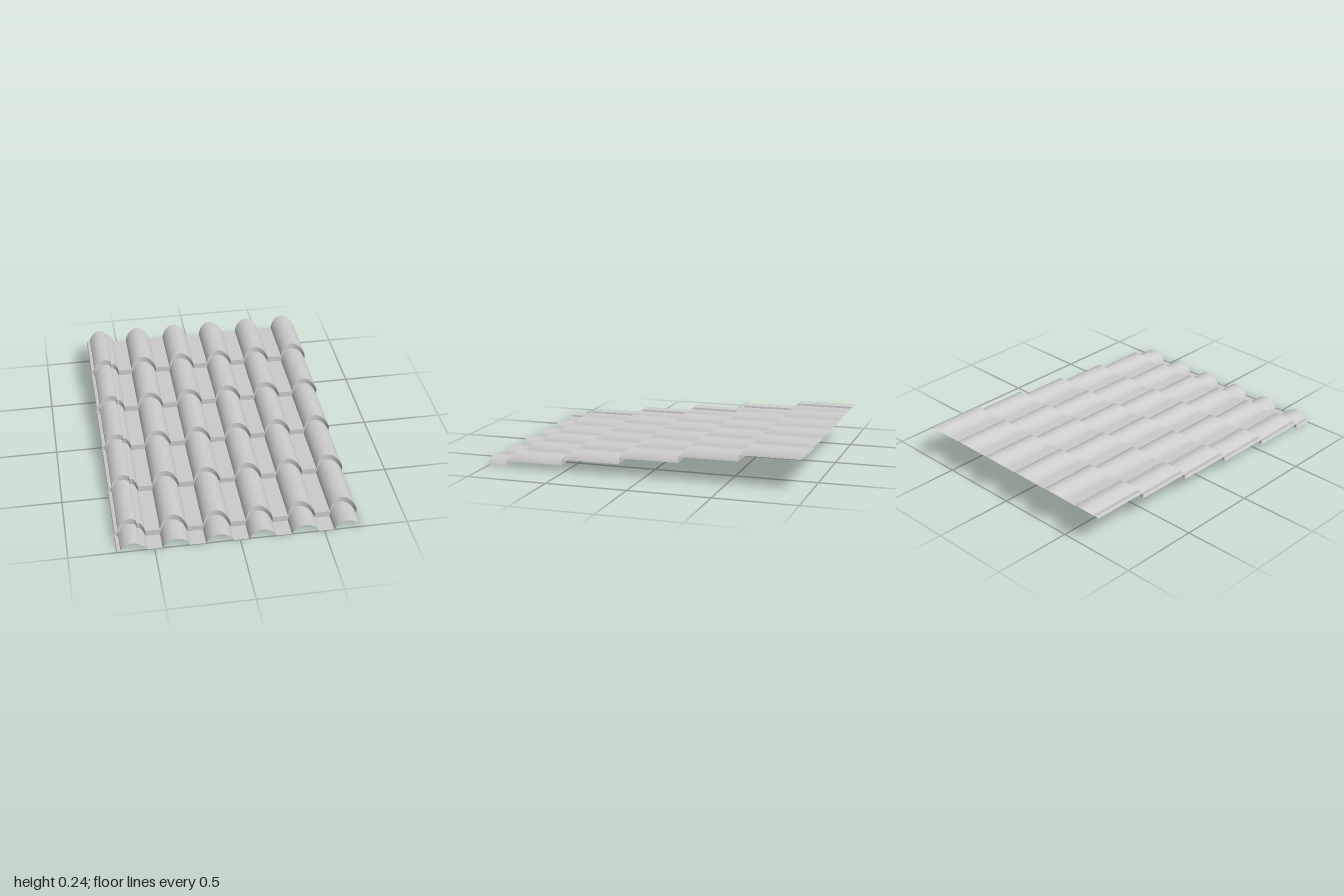
import * as THREE from 'three';
import { toCreasedNormals } from 'three/addons/utils/BufferGeometryUtils.js';

const ROWS = 6, STEP = 0.0368, PITCH = 0.365, FIRST_EDGE = 0.88;
const HALF = 0.081, RISE = 0.056, PERIOD = 0.2535, FIRST_ARCH = -0.6265;

// Height of a circular roll at distance d from its centre
const RADIUS = (HALF * HALF + RISE * RISE) / (2 * RISE);
const roll = d => Math.max(0, Math.sqrt(RADIUS * RADIUS - d * d) - RADIUS + RISE);

// Cross-section [x, height] from the right edge to the left edge
function sheetProfile() {
  const pts = [[-0.722, 0.003], [-0.718, 0.009], [-0.704, 0.011], [-0.698, 0.007]];
  // Overlap roll with a stepped side lap
  for (let i = 0; i <= 8; i++) {
    const x = -0.696 + i * 0.0133;
    pts.push([x, roll(x - FIRST_ARCH)]);
  }
  pts.push([-0.587, 0.036], [-0.57, 0.035], [-0.558, 0.027], [-0.547, 0.014], [-0.54, 0]);
  // Regular rolls separated by flat pans
  for (let k = 1; k < 6; k++) {
    const centre = FIRST_ARCH + k * PERIOD;
    for (let i = 0; i <= 14; i++) {
      const d = -HALF * Math.cos(Math.PI * i / 14);
      pts.push([centre + d, roll(d)]);
    }
  }
  return pts;
}

// Strip between two curves that follow the cross-section
function strip(profile, lower, upper) {
  const position = [], index = [];
  profile.forEach(([x, h], i) => {
    position.push(x, ...lower(h), x, ...upper(h));
    if (i > 0) {
      const a = 2 * i - 2;
      index.push(a, a + 2, a + 3, a, a + 3, a + 1);
    }
  });
  const geometry = new THREE.BufferGeometry();
  geometry.setAttribute('position', new THREE.Float32BufferAttribute(position, 3));
  geometry.setIndex(index);
  return toCreasedNormals(geometry, 0.5);
}

export function createModel() {
  const model = new THREE.Group();
  model.name = 'roofTileSheet';
  const material = new THREE.MeshStandardMaterial({ color: 0xcccccc, side: THREE.DoubleSide });
  const profile = sheetProfile();
  const add = (name, geometry) => {
    const mesh = new THREE.Mesh(geometry, material);
    mesh.name = name;
    model.add(mesh);
  };

  for (let r = 0; r < ROWS; r++) {
    const y = r * STEP;
    const back = FIRST_EDGE - r * PITCH;
    // Tile course: straight at the eave, otherwise raked with the roll height
    add(`tileCourse${r + 1}`, strip(profile,
      h => [y + h, r === 0 ? 1 : back + PITCH - h],
      h => [y + h, back - h]));
    // Upright step to the next course
    if (r < ROWS - 1) {
      add(`courseStep${r + 1}`, strip(profile,
        h => [y + h, back - h],
        h => [y + STEP + h, back - h]));
    }
  }
  return model;
}
